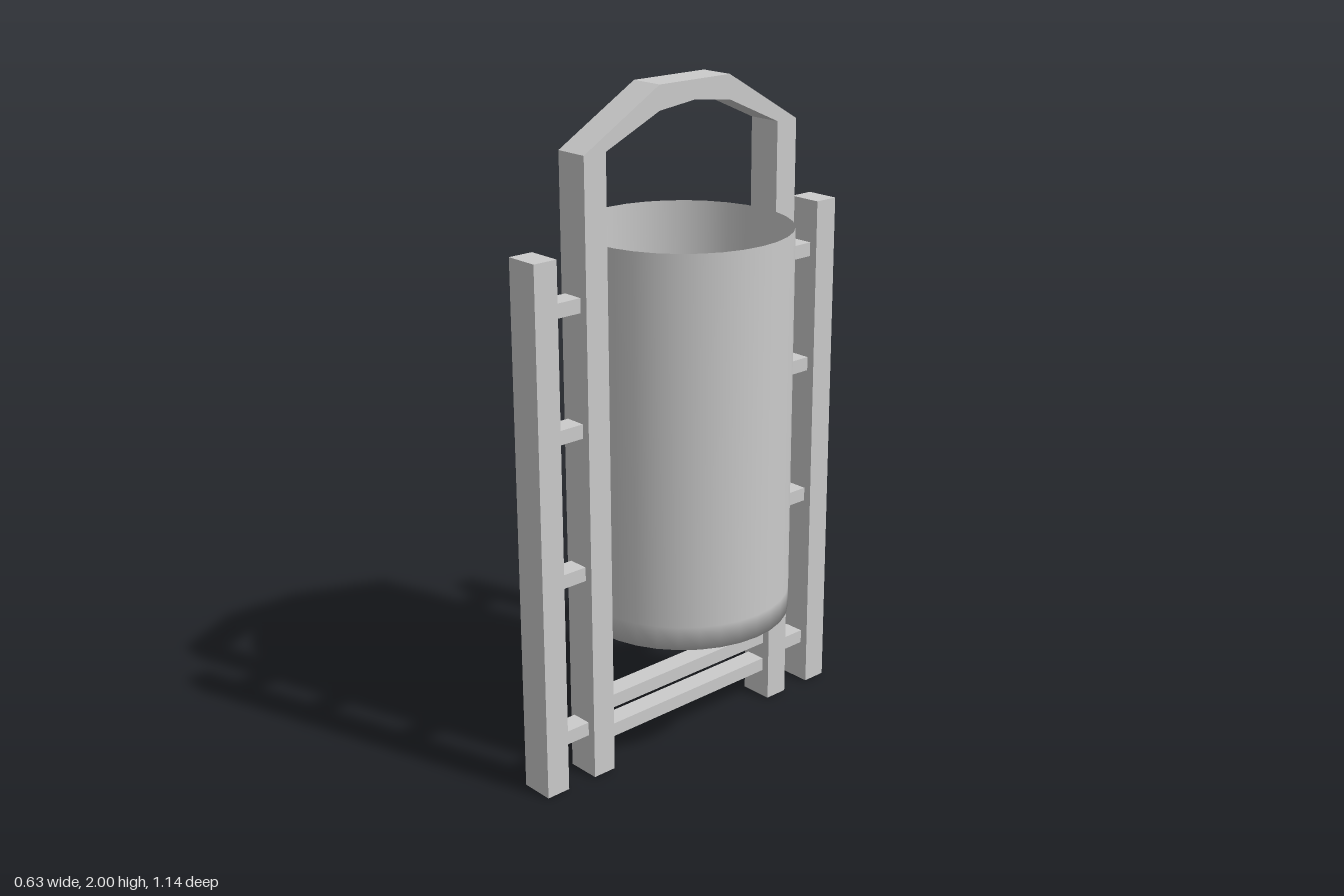
import * as THREE from 'three';

export function createModel() {
  const group = new THREE.Group();
  const grey = new THREE.MeshStandardMaterial({ color: 0xcccccc });
  const greyDouble = new THREE.MeshStandardMaterial({ color: 0xcccccc, side: THREE.DoubleSide });

  const add = (name, geometry, material = grey) => {
    const mesh = new THREE.Mesh(geometry, material);
    mesh.name = name;
    group.add(mesh);
    return mesh;
  };
  // Box given by its limits on each axis
  const bar = (name, x0, x1, y0, y1, z0, z1) =>
    add(name, new THREE.BoxGeometry(x1 - x0, y1 - y0, z1 - z0))
      .position.set((x0 + x1) / 2, (y0 + y1) / 2, (z0 + z1) / 2);

  // Open-topped bin with a softly shaded bottom edge
  const profile = [[0, 0.42], [0.316, 0.42], [0.316, 0.49], [0.316, 1.585]]
    .map(([r, y]) => new THREE.Vector2(r, y));
  add('bin', new THREE.LatheGeometry(profile, 32), greyDouble);

  // Inner frame: two posts joined by a faceted arch, in one outline
  const half = [
    [0.397, 0], [0.397, 1.845], [0.13, 2], // outer edge, going up
    [-0.13, 2], [-0.397, 1.845], [-0.397, 0],
    [-0.321, 0], [-0.321, 1.845], [-0.13, 1.93], [0, 1.945], // inner edge
    [0.13, 1.93], [0.321, 1.845], [0.321, 0],
  ];
  const outline = new THREE.Shape(half.map(([z, y]) => new THREE.Vector2(z, y)));
  const frame = new THREE.ExtrudeGeometry(outline, { depth: 0.104, bevelEnabled: false });
  frame.translate(0, 0, -0.05).rotateY(-Math.PI / 2);
  add('archedFrame', frame);

  // Outer posts and the short rungs tying them to the frame
  for (const side of [1, -1]) {
    const span = (a, b) => (side > 0 ? [a, b] : [-b, -a]);
    bar('outerPost', -0.054, 0.05, 0, 1.585, ...span(0.495, 0.572));
    for (const y of [0.15, 0.645, 1.075, 1.435]) {
      bar('rung', -0.039, 0.025, y - 0.021, y + 0.021, ...span(0.39, 0.5));
    }
  }

  // Two long rails under the bin
  for (const y of [0.11, 0.206]) {
    bar('lowerRail', -0.039, 0.025, y - 0.021, y + 0.021, -0.325, 0.325);
  }

  return group;
}
